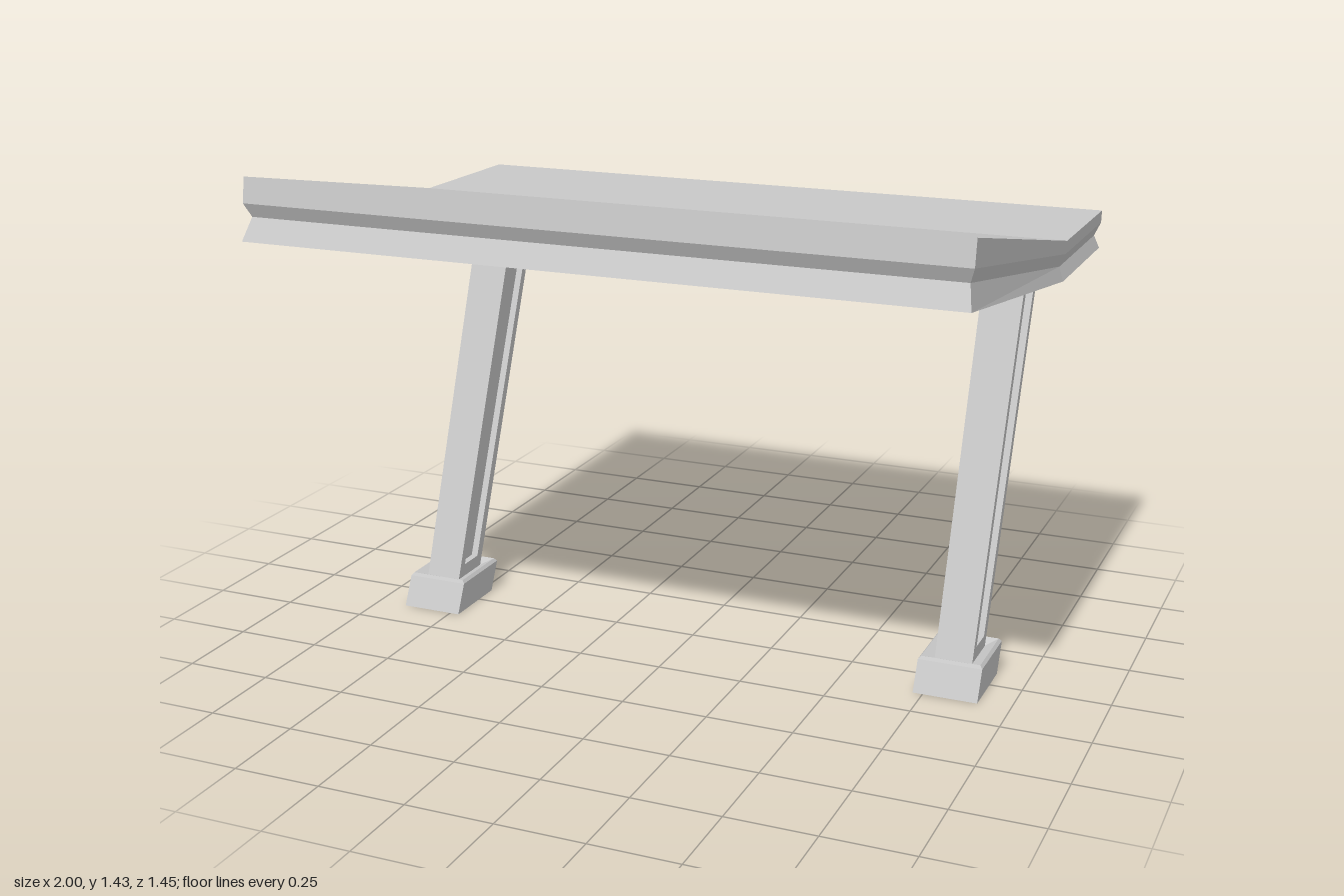
import * as THREE from 'three';

const lerp = THREE.MathUtils.lerp;

// Collects quads (corners counter-clockwise from outside) into a flat-faced geometry
class Quads {
  constructor() { this.p = []; }
  quad(a, b, c, d) { this.p.push(...a, ...b, ...c, ...a, ...c, ...d); }
  // Skin between successive rings of equal length
  loft(rings) {
    for (let i = 0; i + 1 < rings.length; i++) {
      const r = rings[i], s = rings[i + 1], n = r.length;
      for (let j = 0; j < n; j++) this.quad(r[j], r[(j + 1) % n], s[(j + 1) % n], s[j]);
    }
  }
  // Fill a ring with strips running across it
  cap(ring, flip = false) {
    const n = ring.length;
    for (let j = 0; j + 1 < n / 2; j++) {
      const q = [ring[j], ring[j + 1], ring[n - 2 - j], ring[n - 1 - j]];
      if (flip) q.reverse();
      this.quad(...q);
    }
  }
  mesh(name, material) {
    const g = new THREE.BufferGeometry();
    g.setAttribute('position', new THREE.Float32BufferAttribute(this.p, 3));
    g.computeVertexNormals();
    const m = new THREE.Mesh(g, material);
    m.name = name;
    return m;
  }
}

// Ring symmetric in x, through [z, y] points listed front to back
const ring = (hx, pts) => [
  ...pts.map(([z, y]) => [hx, y, z]),
  ...pts.slice().reverse().map(([z, y]) => [-hx, y, z]),
];

function makeRoof(material) {
  const q = new Quads();
  // Bent slab with a grooved edge, bottom to top
  const rings = [
    ring(1, [[0.724, 1.256], [-0.242, 1.12], [-0.711, 1.12]]),
    ring(0.986, [[0.69, 1.318], [-0.25, 1.159], [-0.697, 1.159]]),
    ring(1, [[0.709, 1.357], [-0.256, 1.194], [-0.72, 1.194]]),
    ring(1, [[0.697, 1.427], [-0.266, 1.229], [-0.724, 1.229]]),
  ];
  q.loft(rings);
  q.cap(rings[0], true);
  q.cap(rings[3]);
  return q.mesh('roof', material);
}

function makeLeg(material) {
  const q = new Quads();
  const y0 = 0.08, y1 = 1.125;
  const halfWidth = (y) => lerp(0.054, 0.061, (y - y0) / (y1 - y0));
  const bottom = ring(halfWidth(y0), [[0.055, y0], [-0.081, y0]]);
  const top = ring(halfWidth(y1), [[-0.345, y1], [-0.493, y1]]);
  // Front and back faces
  q.quad(bottom[3], bottom[0], top[0], top[3]);
  q.quad(bottom[1], bottom[2], top[2], top[1]);
  q.cap(top);
  // Side faces, each with a sunken panel
  const outer = [[0.055, y0], [-0.081, y0], [-0.493, y1], [-0.345, y1]];
  const inner = [[0.015, 0.116], [-0.065, 0.116], [-0.449, 1.077], [-0.352, 1.077]];
  for (const s of [1, -1]) {
    const side = (pts, depth) => {
      const r = pts.map(([z, y]) => [s * (halfWidth(y) - depth), y, z]);
      return s > 0 ? r : r.reverse();
    };
    const floor = side(inner, 0.02);
    q.loft([side(outer, 0), side(inner, 0), floor]);
    q.cap(floor);
  }
  return q.mesh('leg', material);
}

function makeFoot(material) {
  const q = new Quads();
  // Slanted hollow foot with a raised rim around the leg
  q.loft([
    ring(0.0925, [[0.133, 0], [-0.08, 0]]),
    ring(0.0925, [[0.092, 0.085], [-0.122, 0.085]]),
    ring(0.085, [[0.086, 0.094], [-0.115, 0.094]]),
    ring(0.054, [[0.055, 0.08], [-0.081, 0.08]]),
  ]);
  return q.mesh('foot', material);
}

export function createModel() {
  const grey = new THREE.MeshStandardMaterial({ color: 0xc8c8c8, side: THREE.DoubleSide });
  grey.name = 'light grey';

  const model = new THREE.Group();
  model.name = 'shelter';
  model.add(makeRoof(grey));

  // Two leaning supports
  for (const s of [1, -1]) {
    const support = new THREE.Group();
    support.name = s > 0 ? 'leftSupport' : 'rightSupport';
    support.add(makeLeg(grey), makeFoot(grey));
    support.position.x = s * 0.814;
    model.add(support);
  }
  return model;
}
